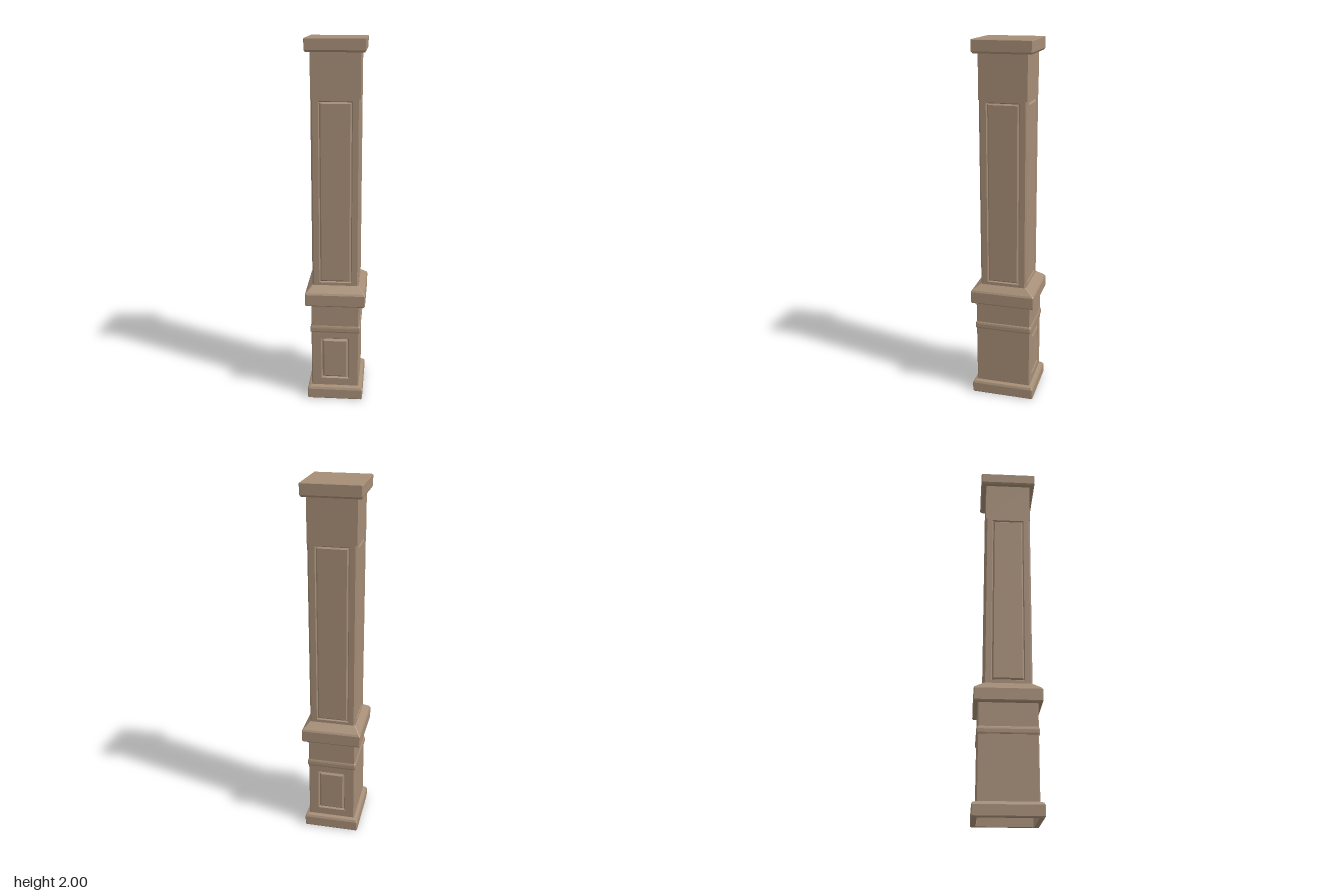
import * as THREE from 'three';

// Triangulated quads, non-indexed so every face stays flat
function quads(list) {
  const pos = [];
  for (const [a, b, c, d] of list) pos.push(...a, ...b, ...c, ...a, ...c, ...d);
  const g = new THREE.BufferGeometry();
  g.setAttribute('position', new THREE.Float32BufferAttribute(pos, 3));
  g.computeVertexNormals();
  return g;
}

// Rectangle with chamfered corners at one height
const ring = ([y, x, z, c = 0.004]) => [
  [x - c, y, z], [x, y, z - c], [x, y, c - z], [x - c, y, -z],
  [c - x, y, -z], [-x, y, c - z], [-x, y, z - c], [c - x, y, z],
];

// Skin through levels [y, halfX, halfZ, chamfer]; skip leaves out sides (1 +x, 3 -z, 5 -x, 7 +z)
function loft(levels, { skip = [], top = false } = {}) {
  const rings = levels.map(ring), list = [];
  for (let i = 0; i + 1 < rings.length; i++) {
    const lo = rings[i], hi = rings[i + 1];
    for (let k = 0; k < 8; k++) {
      const n = (k + 1) % 8;
      if (!skip.includes(k)) list.push([lo[k], lo[n], hi[n], hi[k]]);
    }
  }
  if (top) {
    const r = rings[rings.length - 1];
    list.push([r[0], r[1], r[2], r[3]], [r[0], r[3], r[4], r[7]], [r[4], r[5], r[6], r[7]]);
  }
  return quads(list);
}

// Wall facing +z with a V-groove framing a flush panel
function panelWall(halfW, y0, y1, panelW, p0, p1, groove, depth, dist) {
  const rect = (w, a, b, z) => [[-w, a, z], [w, a, z], [w, b, z], [-w, b, z]];
  const inset = (s, z) => rect(panelW - s, p0 + s, p1 - s, z);
  const loops = [
    rect(halfW, y0, y1, dist), inset(0, dist),
    inset(groove * 0.4, dist - depth), inset(groove, dist),
  ];
  const list = [loops[3]];
  for (let i = 0; i < 3; i++) {
    for (let k = 0; k < 4; k++) {
      const n = (k + 1) % 4;
      list.push([loops[i][k], loops[i][n], loops[i + 1][n], loops[i + 1][k]]);
    }
  }
  return quads(list);
}

export function createModel() {
  const group = new THREE.Group();
  const paint = new THREE.MeshStandardMaterial({ color: 0xa58d76, side: THREE.DoubleSide });
  paint.name = 'taupe paint';
  const add = (name, geometry, turn = 0) => {
    const mesh = new THREE.Mesh(geometry, paint);
    mesh.name = name;
    mesh.rotation.y = turn;
    group.add(mesh);
  };

  // Hollow plinth, open underneath
  add('plinth', loft([
    [0.07, 0.128, 0.15], [0, 0.128, 0.15], [0, 0.151, 0.174], [0.005, 0.155, 0.178],
    [0.058, 0.155, 0.178], [0.07, 0.15, 0.172], [0.077, 0.132, 0.155],
  ]));

  // Pedestal: plain sides, grooved panels front and back
  const px = 0.133, pz = 0.155, pc = 0.005;
  add('pedestalSides', loft([[0.06, px, pz, pc], [0.41, px, pz, pc]], { skip: [3, 7] }));
  for (const [name, turn] of [['pedestalFront', 0], ['pedestalBack', Math.PI]]) {
    add(name, panelWall(px - pc, 0.06, 0.41, 0.079, 0.12, 0.372, 0.017, 0.01, pz), turn);
  }

  // Rounded band and pedestal neck
  add('pedestalBand', loft([
    [0.41, px, pz, pc], [0.41, 0.137, 0.158, pc], [0.417, 0.139, 0.16, pc],
    [0.435, 0.139, 0.16, pc], [0.444, 0.137, 0.158, pc], [0.45, px, pz, pc],
  ]));
  add('pedestalNeck', loft([[0.45, px, pz, pc], [0.58, px, pz, pc]]));

  // Collar sloping in to the shaft
  add('collar', loft([
    [0.575, px - 0.002, pz - 0.002], [0.575, 0.161, 0.174], [0.581, 0.165, 0.178],
    [0.642, 0.165, 0.178], [0.652, 0.16, 0.172], [0.685, 0.126, 0.126],
  ]));

  // Shaft: chamfered corners below, square above, one long panel per side
  const s = 0.128, sc = 0.009;
  add('shaftCorners', loft([[0.68, s, s, sc], [1.7, s, s, sc]], { skip: [1, 3, 5, 7] }));
  for (let i = 0; i < 4; i++) {
    add('shaftPanel', panelWall(s - sc, 0.68, 1.7, 0.089, 0.7, 1.69, 0.013, 0.008, s), i * Math.PI / 2);
  }
  add('shaftTop', loft([[1.7, s, s, sc], [1.7, s, s, 0], [1.94, s, s, 0]]));

  // Capital with bevelled underside
  add('capital', loft([
    [1.932, s - 0.002, s - 0.002], [1.932, 0.149, 0.15], [1.942, 0.155, 0.157],
    [1.997, 0.155, 0.157], [2, 0.152, 0.154],
  ], { top: true }));

  return group;
}
